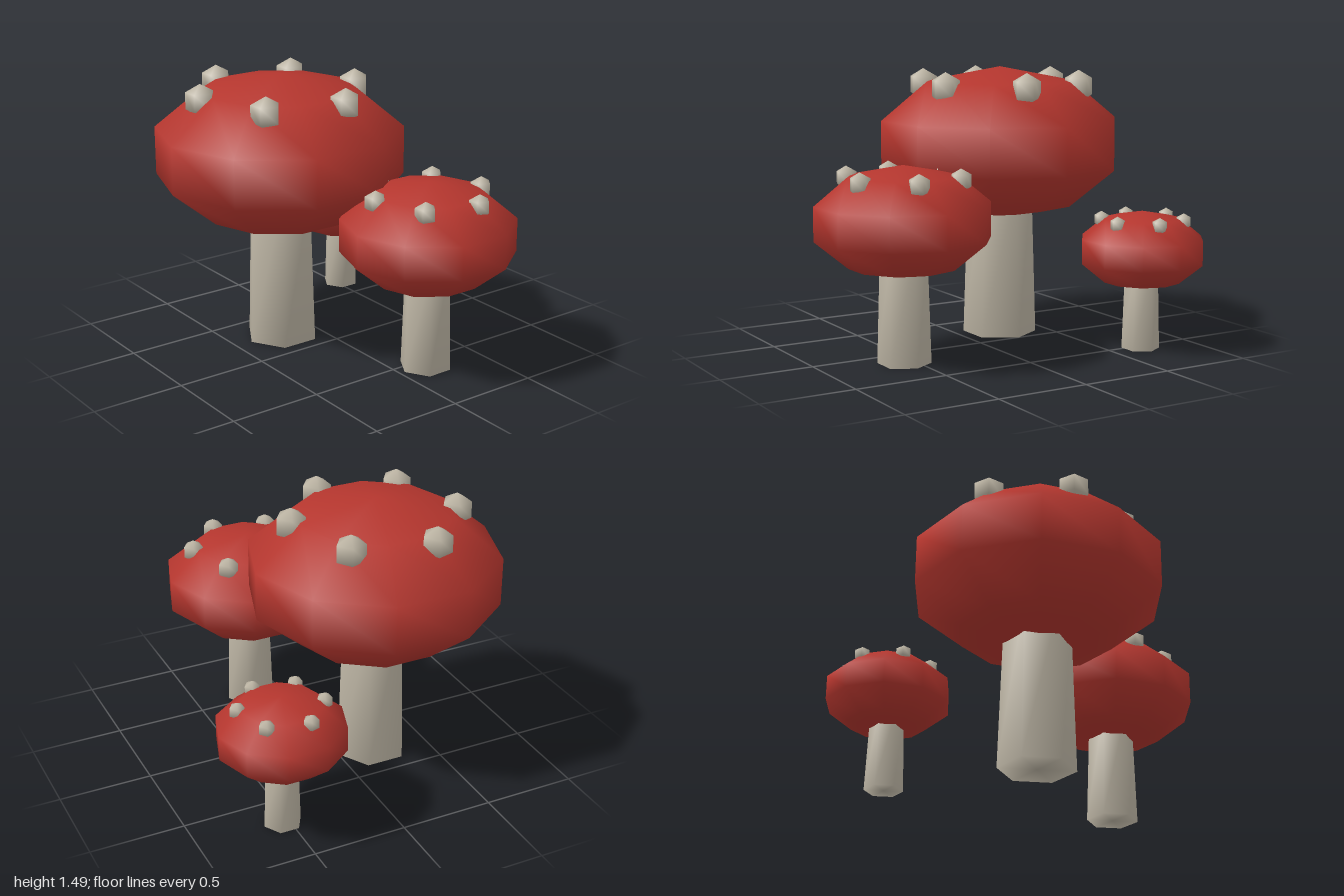
import * as THREE from 'three';
import { mergeVertices } from 'three/addons/utils/BufferGeometryUtils.js';

// Weld a geometry so shading is smooth over every edge.
function soften(geometry) {
  geometry.deleteAttribute('uv');
  geometry.deleteAttribute('normal');
  const welded = mergeVertices(geometry, 1e-4);
  welded.computeVertexNormals();
  return welded;
}

export function createModel() {
  const red = new THREE.MeshStandardMaterial({ color: 0xb5362e });
  red.name = 'capRed';
  const cream = new THREE.MeshStandardMaterial({ color: 0xbfb7a6 });
  cream.name = 'stemCream';

  // Shared shapes at the size of the largest mushroom
  const capGeometry = new THREE.SphereGeometry(0.7, 10, 5).rotateY(-Math.PI / 2).scale(1, 0.6, 1);
  const stemGeometry = soften(new THREE.CylinderGeometry(0.177, 0.203, 0.84, 6).translate(0, 0.42, 0));
  const spotGeometry = new THREE.SphereGeometry(0.09, 5, 3).rotateY(-Math.PI / 2);

  function part(name, geometry, material, x = 0, y = 0, z = 0) {
    const mesh = new THREE.Mesh(geometry, material);
    mesh.name = name;
    mesh.position.set(x, y, z);
    return mesh;
  }

  function mushroom(name, x, z, size) {
    const group = new THREE.Group();
    group.name = name;
    group.add(part('stem', stemGeometry, cream));
    group.add(part('cap', capGeometry, red, 0, 1.07, 0));

    // Ring of six raised spots
    for (let i = 0; i < 6; i++) {
      const a = THREE.MathUtils.degToRad(43 + i * 60);
      group.add(part('spot', spotGeometry, cream, 0.437 * Math.cos(a), 1.385, 0.437 * Math.sin(a)));
    }
    group.position.set(x, 0, z);
    group.scale.setScalar(size);
    return group;
  }

  const model = new THREE.Group();
  model.name = 'mushroomCluster';
  model.add(
    mushroom('largeMushroom', -0.245, 0.2, 1),
    mushroom('mediumMushroom', 0.56, -0.17, 0.69),
    mushroom('smallMushroom', -0.683, -0.533, 0.5)
  );
  return model;
}
